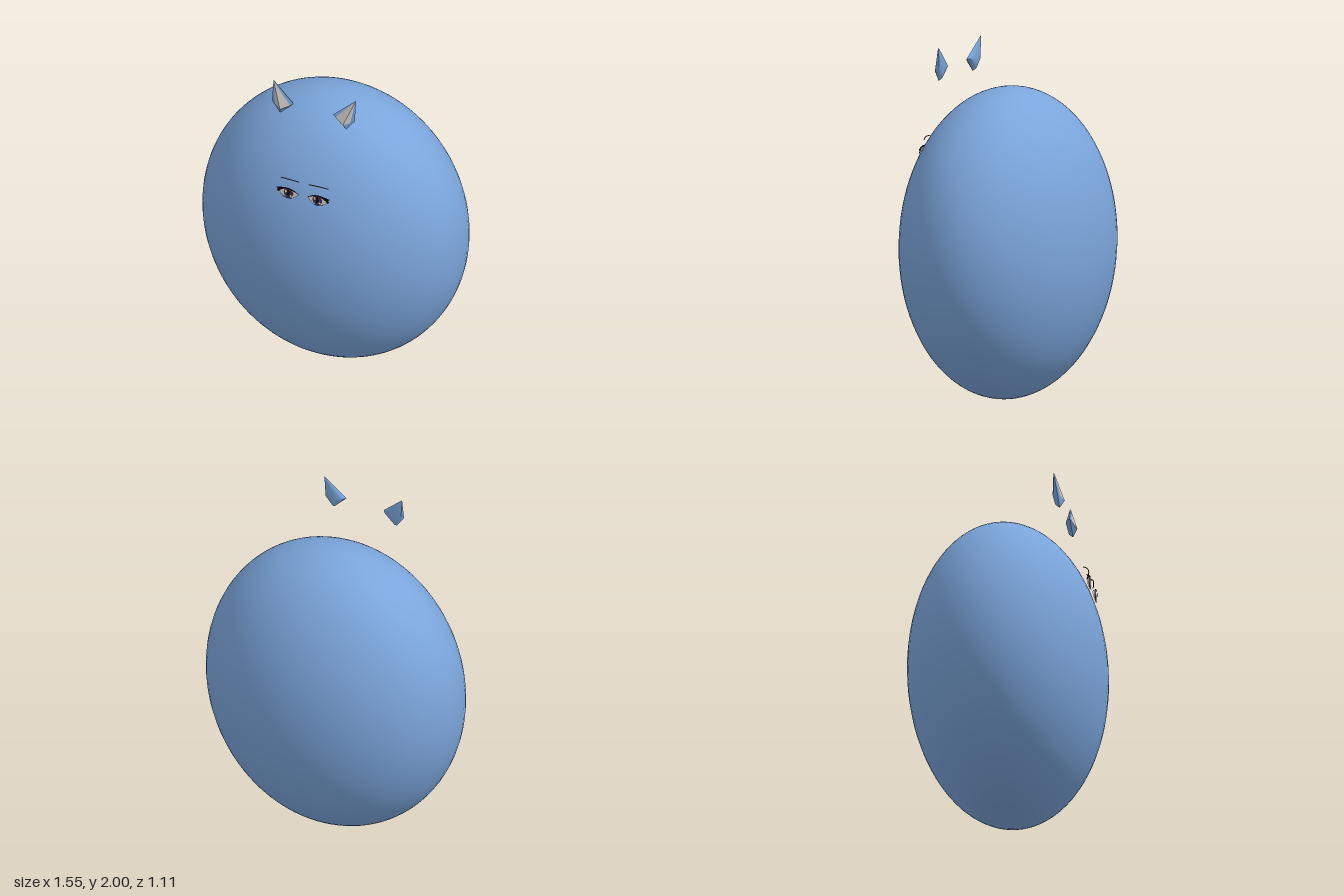
import * as THREE from 'three';
import { toCreasedNormals } from 'three/addons/utils/BufferGeometryUtils.js';
import { ConvexGeometry } from 'three/addons/geometries/ConvexGeometry.js';

const mat = (name, color, side = THREE.DoubleSide) => {
  const m = new THREE.MeshStandardMaterial({ color, side });
  m.name = name;
  return m;
};
const V = (x, y, z) => new THREE.Vector3(x, y, z);

export function createModel() {
  const blue = mat('skin blue', 0x7ba5db, THREE.FrontSide);
  const grey = mat('inner ear grey', 0xc6c3c0);
  const white = mat('eye white', 0xe2d9d3);
  const black = mat('lash black', 0x0d0a10);
  const purple = mat('iris purple', 0x453350);
  const brown = mat('brow brown', 0x6e5038);

  const model = new THREE.Group();
  const add = (parent, name, geometry, material) => {
    const mesh = new THREE.Mesh(geometry, material);
    mesh.name = name;
    parent.add(mesh);
    return mesh;
  };

  // Egg-shaped body
  const body = add(model, 'body', new THREE.SphereGeometry(1, 64, 48), blue);
  body.scale.set(0.775, 0.88, 0.555);
  body.position.y = 0.885;

  // Flat eye piece, gently bent round the face
  const eyePiece = (parent, name, shape, material, layer) => {
    const g = new THREE.ShapeGeometry(shape, 16);
    const p = g.attributes.position;
    for (let i = 0; i < p.count; i++) {
      const x = p.getX(i);
      p.setXYZ(i, x + 0.087, p.getY(i) + 1.37, 0.48 + layer * 0.0015 - 1.5 * x * x);
    }
    g.computeVertexNormals();
    add(parent, name, g, material);
  };
  const ellipse = (x, y, rx, ry) => new THREE.Shape().absellipse(x, y, rx, ry, 0, Math.PI * 2);

  for (const s of [1, -1]) {
    const side = new THREE.Group();
    side.name = s > 0 ? 'leftSide' : 'rightSide';
    side.scale.x = s;
    model.add(side);

    // Eye: white, iris, pupil, highlights
    const almond = new THREE.Shape();
    almond.moveTo(-0.06, 0.005);
    almond.quadraticCurveTo(-0.02, 0.045, 0.02, 0.036);
    almond.quadraticCurveTo(0.05, 0.027, 0.062, 0.005);
    almond.quadraticCurveTo(0.04, -0.032, 0, -0.03);
    almond.quadraticCurveTo(-0.04, -0.028, -0.06, 0.005);
    eyePiece(side, 'eyeWhite', almond, white, 0);
    eyePiece(side, 'iris', ellipse(0, 0.003, 0.029, 0.033), purple, 1);
    eyePiece(side, 'pupil', ellipse(0, 0.006, 0.011, 0.021), black, 2);
    eyePiece(side, 'highlight', ellipse(-0.014 * s, 0.014, 0.006, 0.01), white, 3);
    eyePiece(side, 'lowerHighlight', ellipse(0.015 * s, -0.012, 0.005, 0.008), white, 3);

    // Upper lash with outer flick
    const lash = new THREE.Shape();
    lash.moveTo(-0.067, 0);
    lash.quadraticCurveTo(-0.03, 0.046, 0.015, 0.042);
    lash.quadraticCurveTo(0.045, 0.038, 0.076, 0.025);
    lash.lineTo(0.064, 0.017);
    lash.lineTo(0.072, 0.008);
    lash.lineTo(0.063, -0.005);
    lash.quadraticCurveTo(0.04, 0.029, 0.01, 0.033);
    lash.quadraticCurveTo(-0.03, 0.035, -0.067, 0);
    eyePiece(side, 'upperLash', lash, black, 4);

    // Lower lash line
    const lower = new THREE.Shape();
    lower.moveTo(-0.035, -0.023);
    lower.quadraticCurveTo(0.01, -0.032, 0.045, -0.018);
    lower.quadraticCurveTo(0.01, -0.04, -0.035, -0.023);
    eyePiece(side, 'lowerLash', lower, black, 4);

    // Thin arched eyebrow
    const brow = new THREE.QuadraticBezierCurve3(
      V(0.03, 1.453, 0.463), V(0.08, 1.472, 0.482), V(0.143, 1.45, 0.455));
    add(side, 'eyebrow', new THREE.TubeGeometry(brow, 16, 0.0028, 6), brown);

    // Floating pointed ear with a ridged front and a rounded back
    const tip = V(0.25, 2, 0.306), outer = V(0.25, 1.87, 0.328), inner = V(0.12, 1.88, 0.328);
    const bottom = V(0.2, 1.8, 0.332), ridge = V(0.19, 1.845, 0.357);
    const shell = new ConvexGeometry([tip, outer, inner, bottom, ridge,
      V(0.2, 1.82, 0.308), V(0.222, 1.87, 0.296), V(0.165, 1.876, 0.297),
      V(0.242, 1.87, 0.306), V(0.135, 1.878, 0.308)]);
    add(side, 'ear', toCreasedNormals(shell, 0.75), blue);

    // Grey inner ear: two facets lying on the ridged front
    const t = tip.clone().lerp(ridge, 0.06), o = outer.clone().lerp(ridge, 0.38);
    const n = inner.clone().lerp(ridge, 0.25);
    const panel = new THREE.BufferGeometry().setFromPoints([t, o, ridge, t, ridge, n]);
    panel.translate(0, 0, 0.002);
    panel.computeVertexNormals();
    // Corners run anticlockwise seen from the front
    const idx = [0, 2, 1, 3, 5, 4];
    panel.setIndex(idx);
    panel.computeVertexNormals();
    add(side, 'innerEar', panel, grey);
  }
  return model;
}
